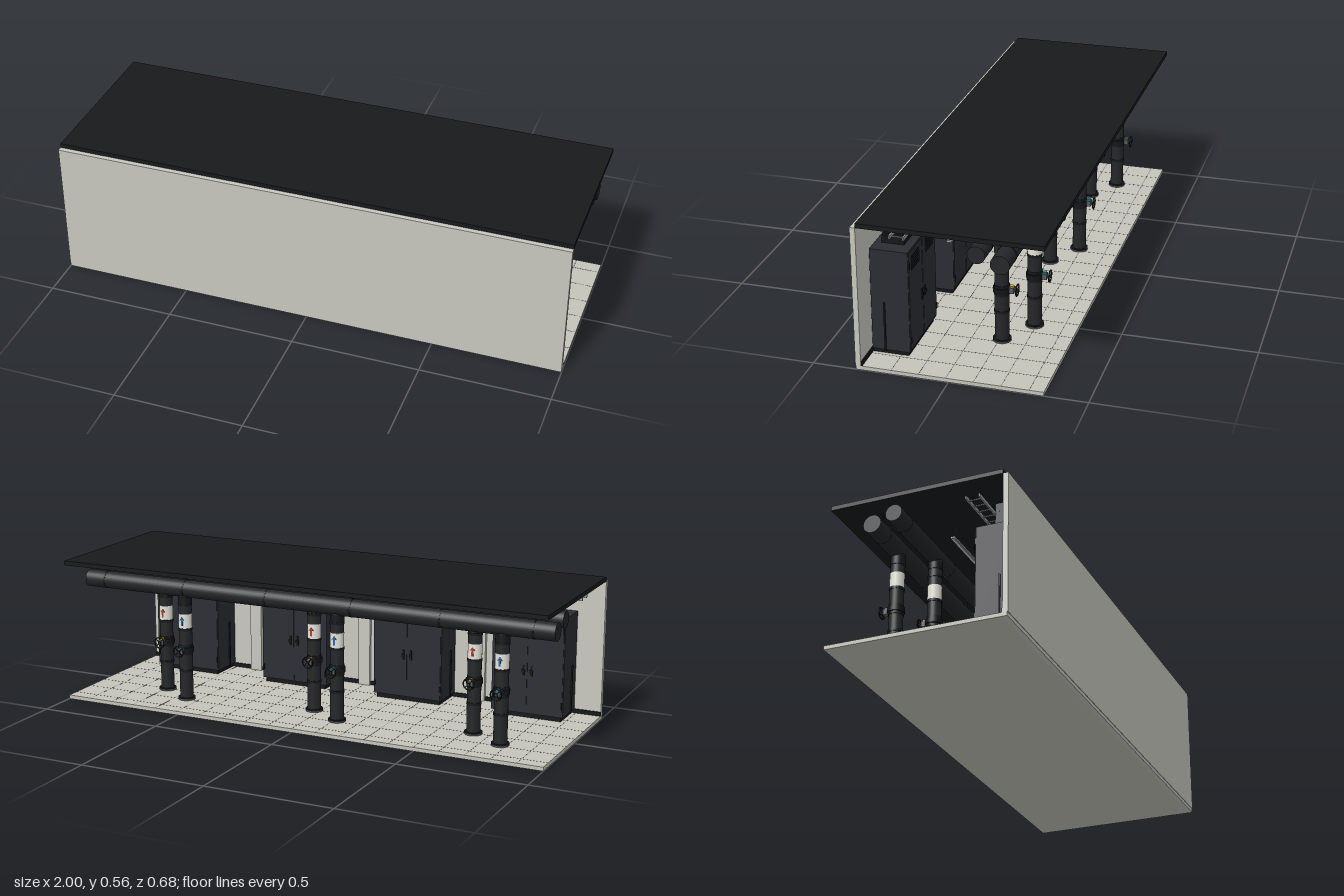
import * as THREE from 'three';

const mat = (color) => new THREE.MeshStandardMaterial({ color });
const M = {
  floor: mat(0xc4c4ba), wall: mat(0xc8c8c0), line: mat(0x6c6c66), roof: mat(0x17191b),
  cabinet: mat(0x2b2d33), black: mat(0x141517), pipe: mat(0x242628), band: mat(0x16181a),
  white: mat(0xe6e5dc), metal: mat(0x9a9da0), steel: mat(0x55595d), light: mat(0xdadcda),
  red: mat(0xb03a30), blue: mat(0x2f5fa8), yellow: mat(0xd8b010), teal: mat(0x1f9a98),
};

function add(parent, name, geometry, material, x, y, z) {
  const mesh = new THREE.Mesh(geometry, material);
  mesh.name = name;
  mesh.position.set(x, y, z);
  parent.add(mesh);
  return mesh;
}

// Box given by its limits on each axis
function box(parent, name, material, x0, x1, y0, y1, z0, z1) {
  return add(parent, name, new THREE.BoxGeometry(x1 - x0, y1 - y0, z1 - z0), material,
    (x0 + x1) / 2, (y0 + y1) / 2, (z0 + z1) / 2);
}

// Upright cylinder between two heights
function post(parent, name, material, r, x, z, y0, y1, sides = 32) {
  return add(parent, name, new THREE.CylinderGeometry(r, r, y1 - y0, sides), material, x, (y0 + y1) / 2, z);
}

function group(parent, name, x = 0, y = 0, z = 0) {
  const g = new THREE.Group();
  g.name = name;
  g.position.set(x, y, z);
  parent.add(g);
  return g;
}

function room(root) {
  const g = group(root, 'room');
  box(g, 'floor', M.floor, -1, 1, 0, 0.015, -0.342, 0.322);
  box(g, 'ceiling', M.roof, -1, 1, 0.548, 0.565, -0.342, 0.322);
  box(g, 'frontWall', M.wall, -1, 1, 0.015, 0.548, 0.322, 0.342);
  box(g, 'wallFoot', M.wall, -1, 1, 0, 0.015, 0.322, 0.34);
  box(g, 'skirting', M.black, -1, 1, 0.015, 0.031, 0.317, 0.322);
  for (const x of [-0.5, 0, 0.5]) box(g, 'wallPilaster', M.wall, x - 0.025, x + 0.025, 0.015, 0.53, 0.308, 0.322);
  // Floor tile joints
  const step = 0.1;
  for (let x = -0.9; x < 0.95; x += step) box(g, 'tileJoint', M.line, x - 0.001, x + 0.001, 0.0148, 0.0153, -0.342, 0.317);
  for (let z = -0.29; z < 0.3; z += step) box(g, 'tileJoint', M.line, -1, 1, 0.0148, 0.0153, z - 0.001, z + 0.001);
}

function cabinet(root, x) {
  const g = group(root, 'cabinet', x);
  const w = 0.145;
  box(g, 'plinth', M.black, -w + 0.01, w - 0.01, 0.015, 0.033, 0.183, 0.315);
  box(g, 'body', M.cabinet, -w, w, 0.033, 0.423, 0.175, 0.315);
  box(g, 'ductCollar', M.black, -0.085, 0.085, 0.423, 0.452, 0.207, 0.29);
  box(g, 'duct', M.black, -0.07, 0.07, 0.452, 0.548, 0.215, 0.284);
  for (const s of [-1, 1]) {
    const a = s * 0.002, b = s * (w - 0.004);
    box(g, 'door', M.cabinet, Math.min(a, b), Math.max(a, b), 0.04, 0.417, 0.172, 0.176);
    // Upper louvres
    for (let i = 0; i < 6; i++) {
      const y = 0.345 + i * 0.01;
      box(g, 'louvre', M.black, s * 0.075 - 0.042, s * 0.075 + 0.042, y, y + 0.004, 0.1705, 0.173);
    }
    box(g, 'handle', M.black, s * 0.016 - 0.004, s * 0.016 + 0.004, 0.185, 0.225, 0.169, 0.173);
    box(g, 'latch', M.black, s * 0.016 - 0.006, s * 0.016 + 0.006, 0.197, 0.209, 0.165, 0.17);
    for (const y of [0.08, 0.37]) box(g, 'hinge', M.black, s * 0.139 - 0.003, s * 0.139 + 0.003, y - 0.012, y + 0.012, 0.169, 0.176);
    box(g, 'sideConduit', M.black, s * (w + 0.002) - 0.003, s * (w + 0.002) + 0.003, 0.03, 0.22, 0.263, 0.269);
    // Duct bolts
    for (const z of [0.23, 0.25, 0.27]) {
      add(g, 'bolt', new THREE.CylinderGeometry(0.003, 0.003, 0.004, 10), M.steel, s * 0.07, 0.517, z).rotation.z = Math.PI / 2;
    }
  }
}

// Overhead main with ceiling rods
function header(root, y, z, r) {
  const g = group(root, 'headerPipe');
  add(g, 'main', new THREE.CylinderGeometry(r, r, 1.97, 36), M.pipe, 0, y, z).rotation.z = Math.PI / 2;
  for (let i = 0; i < 6; i++) {
    const x = -0.9 + i * 0.36;
    post(g, 'hangerRod', M.black, 0.0015, x, z, y, 0.55, 8);
    add(g, 'hangerClamp', new THREE.CylinderGeometry(r + 0.001, r + 0.001, 0.008, 36), M.band, x, y, z).rotation.z = Math.PI / 2;
  }
}

function riser(root, x, z, top, arrowColor, capColor) {
  const g = group(root, 'riser', x, 0, z);
  post(g, 'pipe', M.pipe, 0.0262, 0, 0, 0.018, top);
  post(g, 'footFlange', M.steel, 0.034, 0, 0, 0.018, 0.023);
  post(g, 'footFlange', M.band, 0.034, 0, 0, 0.023, 0.028);
  for (const y of [0.138, 0.207, 0.238, 0.306, 0.406]) post(g, 'coupling', M.band, 0.0282, 0, 0, y - 0.005, y + 0.005);
  post(g, 'saddle', M.band, 0.0275, 0, 0, top - 0.06, top - 0.03);
  post(g, 'label', M.white, 0.0268, 0, 0, 0.311, 0.368);
  // Flow arrow on the label
  const shape = new THREE.Shape([[-0.004, -0.018], [0.004, -0.018], [0.004, 0.004], [0.01, 0.004],
    [0, 0.018], [-0.01, 0.004], [-0.004, 0.004]].map((p) => new THREE.Vector2(...p)));
  add(g, 'flowArrow', new THREE.ExtrudeGeometry(shape, { depth: 0.003, bevelEnabled: false }), arrowColor, 0, 0.34, -0.0278);
  // Valve with gearbox and handwheel
  post(g, 'valveBody', M.black, 0.0315, 0, 0, 0.213, 0.233);
  box(g, 'gearbox', M.steel, -0.011, 0.011, 0.212, 0.234, -0.047, -0.028);
  post(g, 'indicator', capColor, 0.008, 0, -0.038, 0.234, 0.24, 20);
  add(g, 'stem', new THREE.CylinderGeometry(0.003, 0.003, 0.016, 12), M.steel, 0, 0.223, -0.052).rotation.x = Math.PI / 2;
  const wheel = group(g, 'handwheel', 0, 0.224, -0.057);
  add(wheel, 'rim', new THREE.TorusGeometry(0.0215, 0.0025, 10, 32), M.black, 0, 0, 0);
  for (let i = 0; i < 2; i++) {
    add(wheel, 'spoke', new THREE.BoxGeometry(0.042, 0.003, 0.003), M.black, 0, 0, 0).rotation.z = Math.PI / 4 + i * Math.PI / 2;
  }
  add(wheel, 'hub', new THREE.CylinderGeometry(0.005, 0.005, 0.006, 16), M.black, 0, 0, 0).rotation.x = Math.PI / 2;
}

function cableTray(root) {
  const g = group(root, 'cableTray');
  for (const z of [0.165, 0.215]) box(g, 'rail', M.metal, -0.96, 0.96, 0.502, 0.515, z - 0.003, z + 0.003);
  for (let i = 0; i < 48; i++) {
    const x = -0.94 + i * 0.04;
    box(g, 'rung', M.metal, x - 0.003, x + 0.003, 0.503, 0.506, 0.165, 0.215);
  }
  for (let i = 0; i < 7; i++) post(g, 'trayRod', M.black, 0.0015, -0.9 + i * 0.3, 0.165, 0.505, 0.55, 8);
}

function lamp(root, x) {
  const g = group(root, 'lamp', x);
  box(g, 'lampHousing', M.metal, -0.105, 0.105, 0.483, 0.49, 0.014, 0.032);
  box(g, 'lampTube', M.light, -0.1, 0.1, 0.479, 0.483, 0.018, 0.028);
  for (const s of [-1, 1]) post(g, 'lampRod', M.black, 0.0013, s * 0.08, 0.023, 0.489, 0.55, 8);
}

export function createModel() {
  const root = new THREE.Group();
  root.name = 'plantRoom';
  room(root);
  for (const x of [-0.75, -0.25, 0.25, 0.75]) cabinet(root, x);
  header(root, 0.4945, -0.101, 0.032);
  header(root, 0.468, -0.184, 0.0345);
  for (const x of [0.685, 0.022, -0.64]) {
    riser(root, x, -0.101, 0.4945, M.red, M.yellow);
    riser(root, x - 0.138, -0.184, 0.468, M.blue, M.teal);
  }
  cableTray(root);
  for (const x of [0.787, 0.067, -0.655]) lamp(root, x);
  return root;
}
